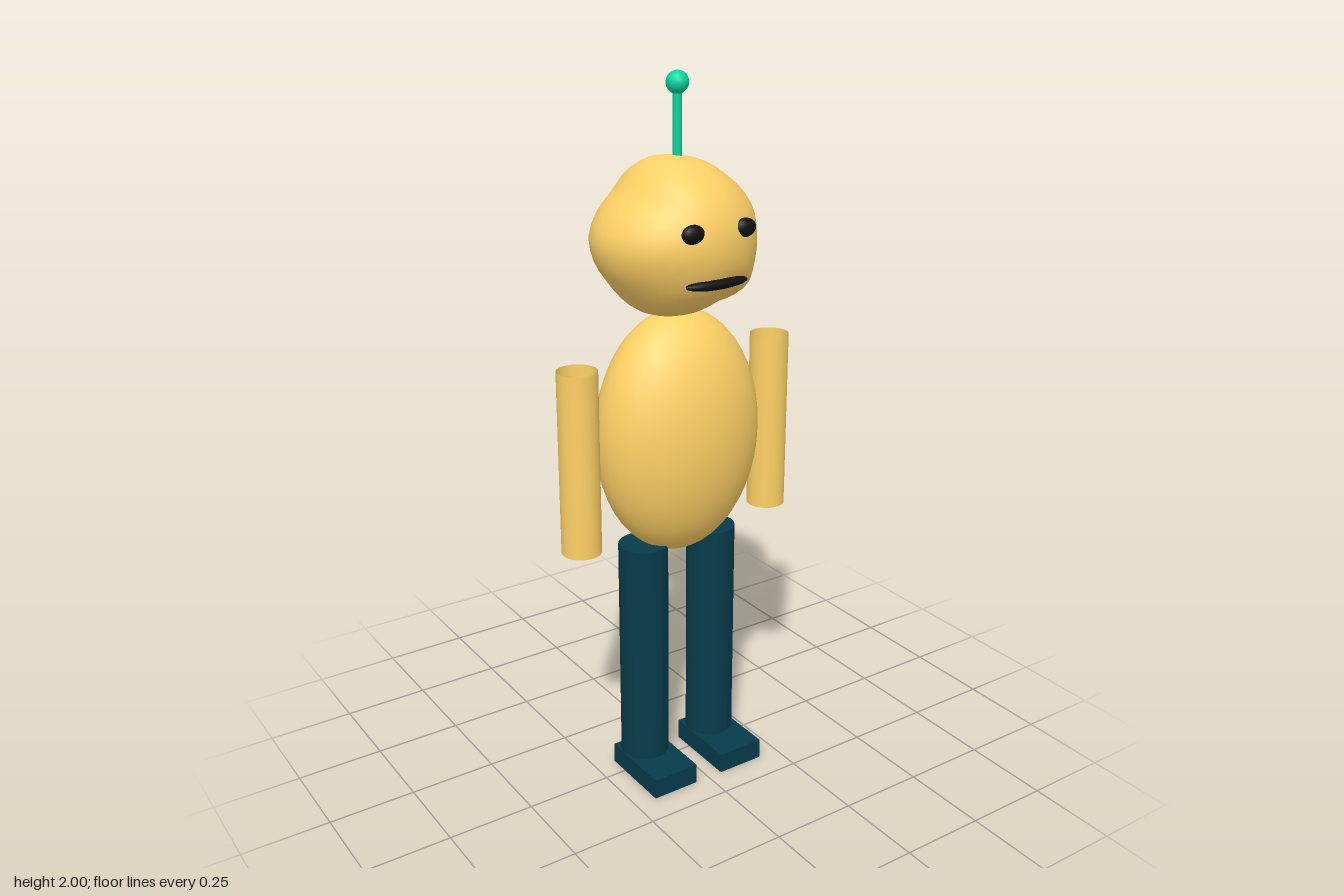
import * as THREE from 'three';
import { mergeVertices } from 'three/addons/utils/BufferGeometryUtils.js';

const material = (color, side = THREE.FrontSide) => new THREE.MeshStandardMaterial({ color, side });
const skin = material(0xffd166);
const skinOpen = material(0xffd166, THREE.DoubleSide);
const navy = material(0x073b4c);
const green = material(0x06d6a0);
const black = material(0x111111);

function part(parent, name, geometry, mat, x, y, z) {
  const mesh = new THREE.Mesh(geometry, mat);
  mesh.name = name;
  mesh.position.set(x, y, z);
  parent.add(mesh);
  return mesh;
}

const ellipsoid = (rx, ry, rz, w = 24, h = 16) => new THREE.SphereGeometry(1, w, h).scale(rx, ry, rz);

// Lumpy head: a sphere whose radius in the front plane follows a lopsided outline
function headGeometry(centerY) {
  const outline = [
    [0.206, 1.597], [0.19, 1.67], [0.127, 1.735], [0.01, 1.787], [-0.05, 1.79], [-0.105, 1.767],
    [-0.153, 1.71], [-0.21, 1.655], [-0.24, 1.59], [-0.23, 1.53], [-0.185, 1.46], [-0.12, 1.395],
    [-0.04, 1.374], [0.07, 1.395], [0.175, 1.427], [0.2, 1.5],
  ].map(([x, y]) => {
    const a = Math.atan2(y - centerY, x);
    return { a: a < 0 ? a + 2 * Math.PI : a, r: Math.hypot(x, y - centerY) };
  }).sort((p, q) => p.a - q.a);

  const radiusAt = (angle) => {
    const a = angle < 0 ? angle + 2 * Math.PI : angle;
    const n = outline.length;
    let i = outline.findIndex((p) => p.a > a);
    if (i < 0) i = n;
    const p = outline[(i + n - 1) % n], q = outline[i % n];
    const span = (q.a - p.a + 2 * Math.PI) % (2 * Math.PI);
    const t = ((a - p.a + 2 * Math.PI) % (2 * Math.PI)) / span;
    return p.r + (q.r - p.r) * t;
  };

  let geometry = new THREE.SphereGeometry(1, 32, 24);
  geometry.deleteAttribute('uv');
  geometry.deleteAttribute('normal');
  geometry = mergeVertices(geometry, 1e-4);
  const pos = geometry.attributes.position;
  for (let i = 0; i < pos.count; i++) {
    const x = pos.getX(i), y = pos.getY(i);
    const r = radiusAt(Math.atan2(y, x));
    pos.setXYZ(i, x * r, y * r, pos.getZ(i) * 0.21);
  }
  geometry.computeVertexNormals();
  return geometry;
}

export function createModel() {
  const model = new THREE.Group();
  model.name = 'figure';

  part(model, 'body', ellipsoid(0.246, 0.348, 0.172, 32, 24), skin, 0, 1.037, 0);

  // Head and face
  const headY = 1.585;
  part(model, 'head', headGeometry(headY), skin, 0, headY, 0);
  part(model, 'mouth', ellipsoid(0.095, 0.016, 0.025), black, 0, 1.49, 0.18);

  // Antenna
  part(model, 'antennaRod', new THREE.CylinderGeometry(0.012, 0.012, 0.22, 12), green, 0, 1.86, 0);
  part(model, 'antennaBall', new THREE.SphereGeometry(0.03, 12, 10), green, 0, 1.97, 0);

  // Mirrored parts
  for (const [side, s] of [['left', 1], ['right', -1]]) {
    part(model, side + 'Eye', ellipsoid(0.033, 0.025, 0.018, 16, 12), black, s * 0.079, 1.625, 0.188);
    part(model, side + 'Arm', new THREE.CylinderGeometry(0.055, 0.055, 0.515, 24, 1, true), skinOpen, s * 0.312, 1.008, 0);
    part(model, side + 'Leg', new THREE.CylinderGeometry(0.07, 0.07, 0.725, 24), navy, s * 0.115, 0.3635, 0);
    part(model, side + 'Foot', new THREE.BoxGeometry(0.142, 0.06, 0.225), navy, s * 0.115, 0.03, 0.053);
  }
  return model;
}
